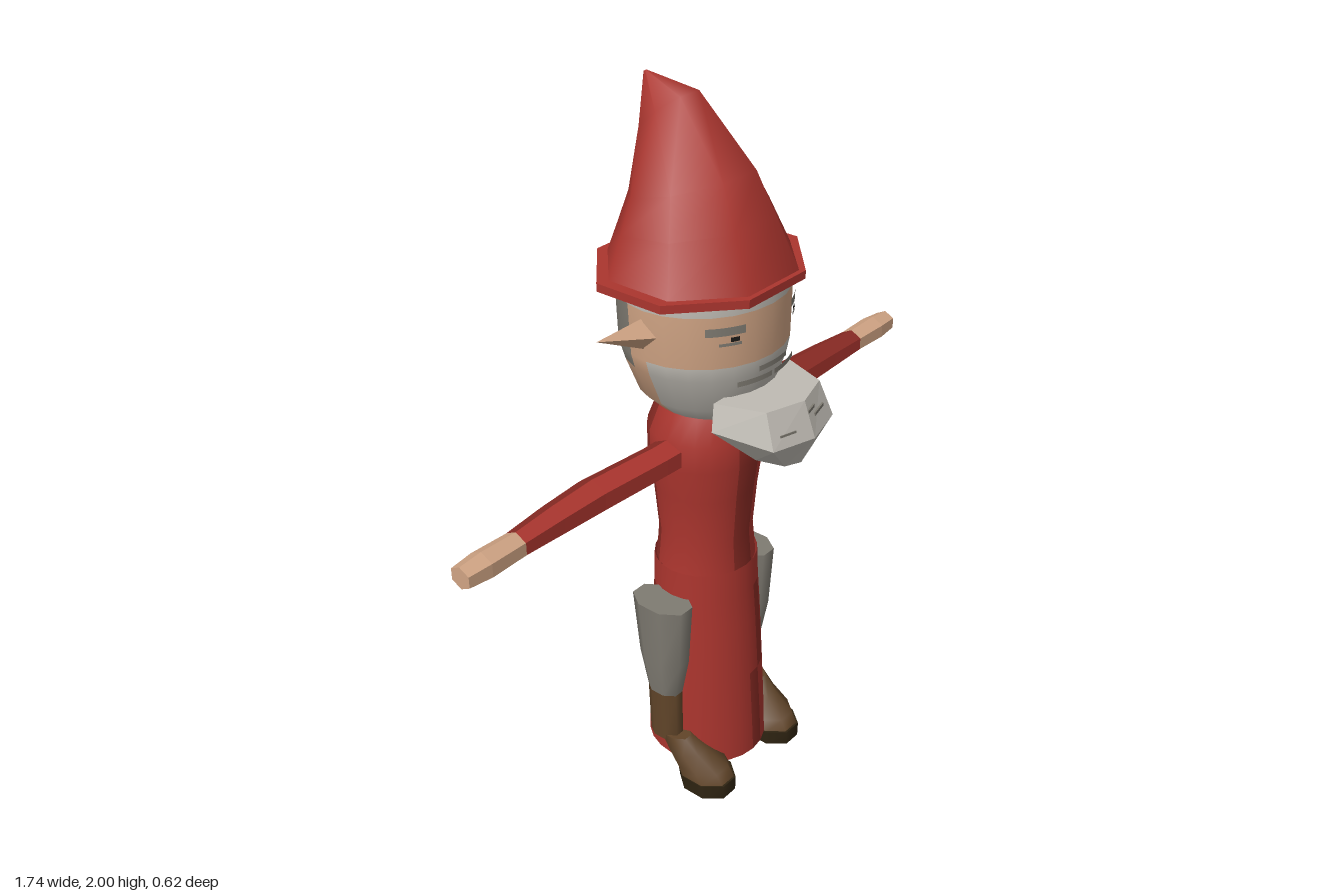
import * as THREE from 'three';

const mat = (name, color) => Object.assign(new THREE.MeshStandardMaterial({ color }), { name });
const red = mat('red cloth', 0xab352e);
const darkRed = mat('dark red cloth', 0x8a2b24);
const skin = mat('skin', 0xd0a484);
const white = mat('white beard', 0xbfbbb3);
const grey = mat('grey', 0x7f7b72);
const brown = mat('brown leather', 0x614529);
const sole = mat('dark sole', 0x2f2412);
const black = mat('eye black', 0x1c1a18);
red.side = darkRed.side = THREE.DoubleSide;

// Elliptical cross-section; the angle runs from the front (+z) towards +x. tilt raises the front edge.
function ring(y, cx, cz, rx, rz, n = 24, tilt = 0, turn = 0) {
  return Array.from({ length: n }, (_, i) => {
    const a = turn + (i / n) * Math.PI * 2, c = Math.cos(a);
    return [cx + rx * Math.sin(a), y + tilt * c, cz + rz * c];
  });
}

// Surface through rings listed bottom to top; paint(row, segment) picks the material index.
function loft(rings, { caps = 'both', flat = false, materials = 1, paint = () => 0 } = {}) {
  const n = rings[0].length, pos = rings.flat(2), faces = Array.from({ length: materials }, () => []);
  for (let i = 0; i < rings.length - 1; i++) for (let j = 0; j < n; j++) {
    const a = i * n + j, b = i * n + (j + 1) % n;
    faces[paint(i, j)].push(a, b, b + n, a, b + n, a + n);
  }
  const cap = (i, up) => {
    const start = pos.length / 3, m = up ? materials - 1 : 0;
    pos.push(...rings[i].flat());
    for (let j = 1; j < n - 1; j++) faces[m].push(start, start + (up ? j : j + 1), start + (up ? j + 1 : j));
  };
  if (caps !== 'none') { cap(0, false); cap(rings.length - 1, true); }
  let g = new THREE.BufferGeometry();
  g.setAttribute('position', new THREE.Float32BufferAttribute(pos, 3));
  g.setIndex(faces.flat());
  let at = 0;
  faces.forEach((f, m) => { g.addGroup(at, f.length, m); at += f.length; });
  if (flat) g = g.toNonIndexed();
  g.computeVertexNormals();
  return g;
}

export function createModel() {
  const model = new THREE.Group();
  const add = (name, geometry, material, parent = model) => {
    const mesh = new THREE.Mesh(geometry, material);
    mesh.name = name;
    parent.add(mesh);
    return mesh;
  };
  const group = (name) => {
    const g = new THREE.Group();
    g.name = name;
    model.add(g);
    return g;
  };

  // Skirt, open below, with a wandering fold front and back
  const skirtRings = [[0.05, 0.165, 0.175], [0.15, 0.166, 0.17], [0.32, 0.162, 0.16], [0.5, 0.155, 0.15], [0.6, 0.15, 0.143], [0.69, 0.147, 0.14]]
    .map(([y, rx, rz]) => ring(y, 0, -0.045, rx, rz));
  add('skirt', loft(skirtRings, {
    caps: 'none', materials: 2,
    paint: (i, j) => (i < 4 && (j === (i < 2 ? 0 : 1) || j === (i < 2 ? 14 : 15))) ? 1 : 0,
  }), [red, darkRed]);

  // Torso with a dark front seam and darker back
  const torsoRings = [[0.68, 0.14, 0.135], [0.78, 0.13, 0.128], [0.92, 0.142, 0.14], [1.02, 0.157, 0.153], [1.1, 0.157, 0.153], [1.175, 0.125, 0.125]]
    .map(([y, rx, rz]) => ring(y, 0, -0.045, rx, rz));
  add('torso', loft(torsoRings, {
    materials: 2,
    paint: (i, j) => (j > 7 && j < 16) || (i < 4 && (j === 0 || j === 23)) ? 1 : 0,
  }), [red, darkRed]);

  // Head: beard on the front half, hair round the back, pale band under the hat
  const headRings = [[1.165, 0.12, 0.13], [1.22, 0.175, 0.183], [1.32, 0.217, 0.209], [1.36, 0.228, 0.215], [1.5, 0.235, 0.217], [1.545, 0.23, 0.215]]
    .map(([y, rx, rz]) => ring(y, 0, -0.045, rx, rz));
  const head = group('head');
  add('skull', loft(headRings, {
    materials: 3,
    paint: (i, j) => {
      if (i === 4) return 1;
      if (i > 1 && j > 6 && j < 17) return 2;
      return i < 3 && (j < 6 || j > 17) ? 1 : 0;
    },
  }), [skin, white, grey], head);

  // Thin curved plates painted on the face
  const patch = (name, x0, x1, y, h, material, r = 1.02) => {
    const a0 = Math.asin(x0 / 0.235), a1 = Math.asin(x1 / 0.235);
    const g = new THREE.CylinderGeometry(1, 1, h, 6, 1, true, a0, a1 - a0);
    g.scale(0.235 * r, 1, 0.217 * r).translate(0, y, -0.045);
    add(name, g, material, head);
  };
  for (const s of [1, -1]) {
    const side = (name, x0, x1, ...rest) => patch(name, s > 0 ? x0 : -x1, s > 0 ? x1 : -x0, ...rest);
    side('eyebrow', 0.09, 0.175, 1.463, 0.022, grey);
    side('eye', 0.105, 0.125, 1.44, 0.012, black);
    side('eyeBag', 0.1, 0.15, 1.428, 0.008, grey);
    side('moustache', 0.005, 0.11, 1.313, 0.014, grey);
  }
  patch('upperLip', -0.05, 0.06, 1.34, 0.014, grey);

  // Pointed ears
  for (const s of [1, -1]) {
    const g = new THREE.ConeGeometry(0.05, 0.17, 4).toNonIndexed();
    g.rotateZ(-s * Math.PI / 2);
    const p = g.attributes.position;
    for (let i = 0; i < p.count; i++) {
      const t = (p.getX(i) * s + 0.085) / 0.17;
      p.setXYZ(i, p.getX(i) + s * 0.285, p.getY(i) + 1.43 + 0.03 * t, p.getZ(i) - 0.048 - 0.025 * t);
    }
    g.computeVertexNormals();
    add(s > 0 ? 'leftEar' : 'rightEar', g, skin, head);
  }

  // Bushy beard tip in front of the chest: half outline mirrored across x
  const beardRing = (half) => [
    ...half, ...half.slice(1).reverse().map(([x, y, z]) => [-x, y, z]),
  ];
  add('beardTip', loft([
    beardRing([[0, 1.085, 0.27], [0.05, 1.09, 0.255], [0.085, 1.1, 0.19]]),
    beardRing([[0, 1.17, 0.31], [0.125, 1.172, 0.275], [0.175, 1.195, 0.12]]),
    beardRing([[0, 1.265, 0.275], [0.11, 1.265, 0.24], [0.155, 1.265, 0.11]]),
  ], { flat: true }), white);
  for (const [x, y, w] of [[-0.07, 1.2, 0.05], [0.06, 1.215, 0.06], [0.02, 1.235, 0.04]]) {
    const strand = add('beardStrand', new THREE.BoxGeometry(w, 0.009, 0.008), grey);
    strand.position.set(x, y, 0.308 - 0.36 * (y - 1.17) - 0.3 * Math.abs(x));
    strand.rotation.y = Math.sign(x) * 0.27;
  }

  // Octagonal brim and bent pointed hat
  const turn = Math.PI / 8;
  const hat = group('hat');
  add('brim', loft([1.53, 1.552].map((y) => ring(y, 0, -0.06, 0.292, 0.266, 8, 0, turn)), { flat: true }), red, hat);
  add('crown', loft([
    ring(1.55, 0, -0.055, 0.26, 0.248, 8, 0.004, turn),
    ring(1.665, 0, -0.07, 0.21, 0.2, 8, 0.025, turn),
    ring(1.755, 0, -0.085, 0.165, 0.164, 8, 0.045, turn),
    ring(1.915, 0, -0.152, 0.09, 0.07, 8, 0.058, turn),
    ring(1.998, 0, -0.228, 0.004, 0.004, 8, 0.002, turn),
  ]), red, hat);

  // Straight arms: brighter in front, ending in mitten hands
  for (const s of [1, -1]) {
    const arm = group(s > 0 ? 'leftArm' : 'rightArm');
    const tube = (sections, options) => loft(sections.map(([x, cz, r]) => ring(x, 0, cz, r * 0.9, r, 6, 0, Math.PI / 6)), { flat: true, ...options })
      .rotateZ(-s * Math.PI / 2).translate(0, 1.058, 0);
    add('sleeve', tube([[0.1, -0.045, 0.052], [0.2, -0.047, 0.05], [0.42, -0.062, 0.052], [0.56, -0.06, 0.046], [0.69, -0.055, 0.038]], {
      materials: 2, paint: (i, j) => (j > 0 && j < 5 ? 1 : 0),
    }), [red, darkRed], arm);
    add('hand', tube([[0.688, -0.055, 0.038], [0.8, -0.055, 0.041], [0.868, -0.055, 0.034]]), skin, arm);
  }

  // Legs: grey breeches, leather shaft, forward boot and sole
  for (const s of [1, -1]) {
    const leg = group(s > 0 ? 'leftLeg' : 'rightLeg');
    const tube = (sections) => loft(sections.map(([y, x, z, rx, rz]) => ring(y, s * x, z, rx, rz, 8, 0, turn)));
    add('breeches', tube([
      [0.305, 0.18, -0.048, 0.038, 0.055], [0.42, 0.181, -0.048, 0.053, 0.078], [0.61, 0.182, -0.05, 0.062, 0.094],
    ]), grey, leg);
    add('bootShaft', tube([[0.14, 0.178, -0.047, 0.034, 0.053], [0.31, 0.18, -0.048, 0.037, 0.055]]), brown, leg);
    add('boot', tube([
      [0.04, 0.15, 0.076, 0.07, 0.09], [0.075, 0.153, 0.06, 0.068, 0.085], [0.115, 0.163, 0.015, 0.052, 0.065], [0.158, 0.175, -0.02, 0.036, 0.055],
    ]), brown, leg);
    add('bootSole', tube([[0, 0.15, 0.08, 0.07, 0.088], [0.045, 0.15, 0.077, 0.073, 0.092]]), sole, leg);
  }
  return model;
}
